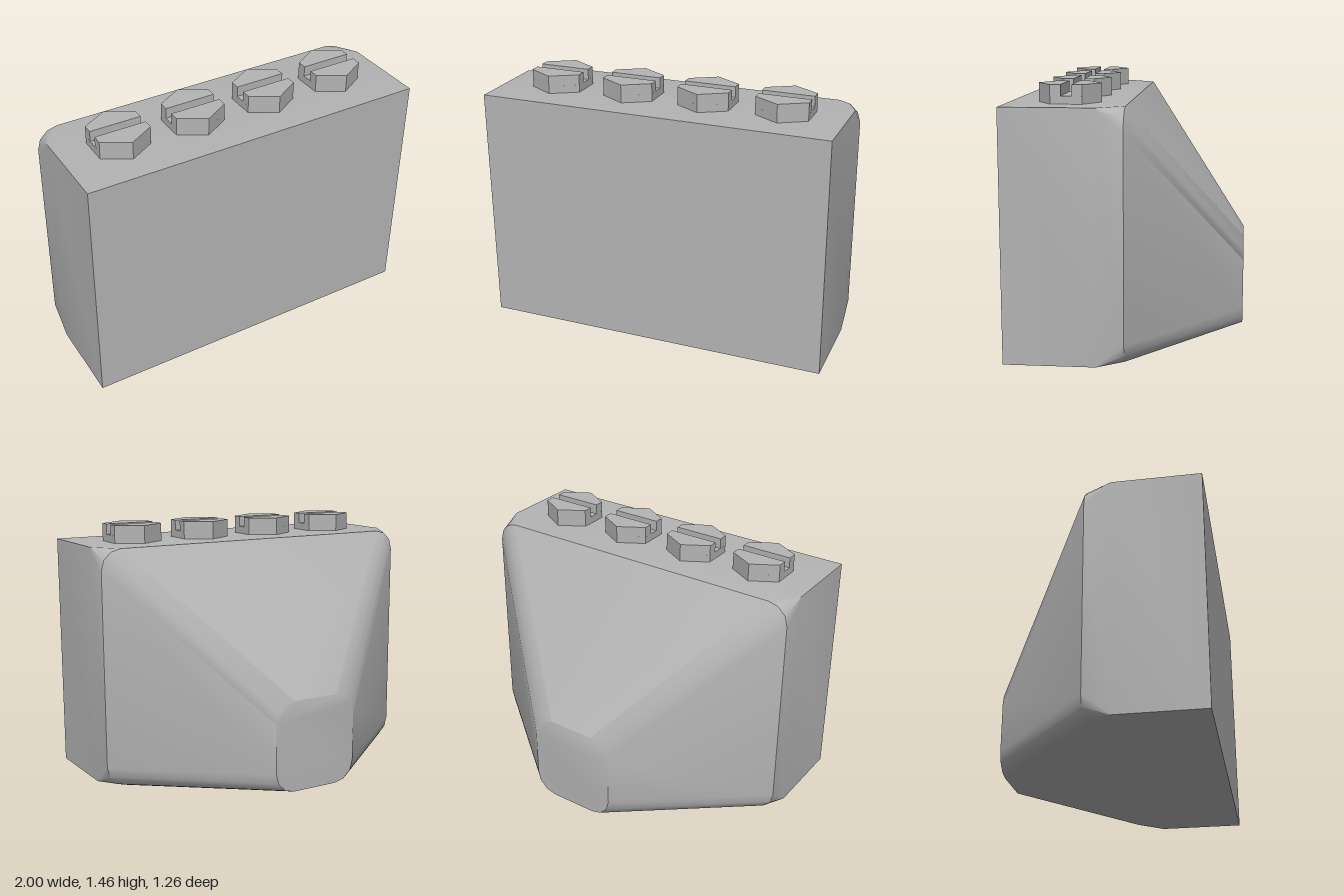
import * as THREE from 'three';
import { toCreasedNormals } from 'three/addons/utils/BufferGeometryUtils.js';

const STEPS = 3; // segments in each rounded corner

// Ring of points around a rectangle whose corners are rounded by r
function ring({ z, w, y0, y1, r }) {
  const points = [];
  const corners = [[w - r, y1 - r], [-w + r, y1 - r], [-w + r, y0 + r], [w - r, y0 + r]];
  corners.forEach(([cx, cy], q) => {
    for (let i = 0; i <= STEPS; i++) {
      const a = (q + i / STEPS) * Math.PI / 2;
      points.push(new THREE.Vector3(cx + r * Math.cos(a), cy + r * Math.sin(a), z));
    }
  });
  return points;
}

// Closed skin over sections ordered from front to back
function loft(sections) {
  const rings = sections.map(ring);
  const positions = [];
  const tri = (a, b, c) => {
    if (a.equals(b) || b.equals(c) || c.equals(a)) return;
    for (const p of [a, b, c]) positions.push(p.x, p.y, p.z);
  };
  const n = rings[0].length;
  const last = rings[rings.length - 1];
  for (let j = 0; j < rings.length - 1; j++) {
    const a = rings[j], b = rings[j + 1];
    for (let i = 0; i < n; i++) {
      const k = (i + 1) % n;
      tri(a[i], b[i], a[k]);
      tri(b[i], b[k], a[k]);
    }
  }
  for (let i = 1; i < n - 1; i++) {
    tri(rings[0][0], rings[0][i], rings[0][i + 1]);
    tri(last[0], last[i + 1], last[i]);
  }
  const geometry = new THREE.BufferGeometry();
  geometry.setAttribute('position', new THREE.Float32BufferAttribute(positions, 3));
  return toCreasedNormals(geometry, 0.62);
}

export function createModel() {
  const model = new THREE.Group();
  const grey = new THREE.MeshStandardMaterial({ color: 0xb4b4b4 });
  grey.name = 'grey';

  const add = (parent, name, geometry, x = 0, y = 0, z = 0) => {
    const mesh = new THREE.Mesh(geometry, grey);
    mesh.name = name;
    mesh.position.set(x, y, z);
    parent.add(mesh);
    return mesh;
  };

  // Square block whose corners melt into a tapered, rounded rear
  add(model, 'housing', loft([
    { z: 0.63, w: 1, y0: 0, y1: 1.36, r: 0 },
    { z: 0.135, w: 1, y0: 0, y1: 1.36, r: 0 },
    { z: -0.013, w: 1, y0: 0, y1: 1.36, r: 0.12 },
    { z: -0.63, w: 0.26, y0: 0.01, y1: 0.535, r: 0.12 },
  ]));

  // Slotted hexagonal screw heads along the top
  const R = 0.17, H = 0.147, slot = 0.029;
  const half = new THREE.Shape([[-H, slot], [H, slot], [H, R / 2], [0, R], [-H, R / 2]]
    .map(([x, y]) => new THREE.Vector2(x, y)));
  const base = new THREE.CylinderGeometry(R, R, 0.042, 6).toNonIndexed();
  base.computeVertexNormals();
  const jaw = new THREE.ExtrudeGeometry(half, { depth: 0.06, bevelEnabled: false })
    .rotateX(-Math.PI / 2);
  for (let i = 0; i < 4; i++) {
    const screw = new THREE.Group();
    screw.name = 'screwHead';
    screw.position.set(-0.67 + i * 0.445, 1.36, 0.305);
    add(screw, 'screwBase', base, 0, 0.021, 0);
    add(screw, 'screwJawRear', jaw, 0, 0.042, 0);
    add(screw, 'screwJawFront', jaw, 0, 0.042, 0).rotation.y = Math.PI;
    model.add(screw);
  }
  return model;
}
